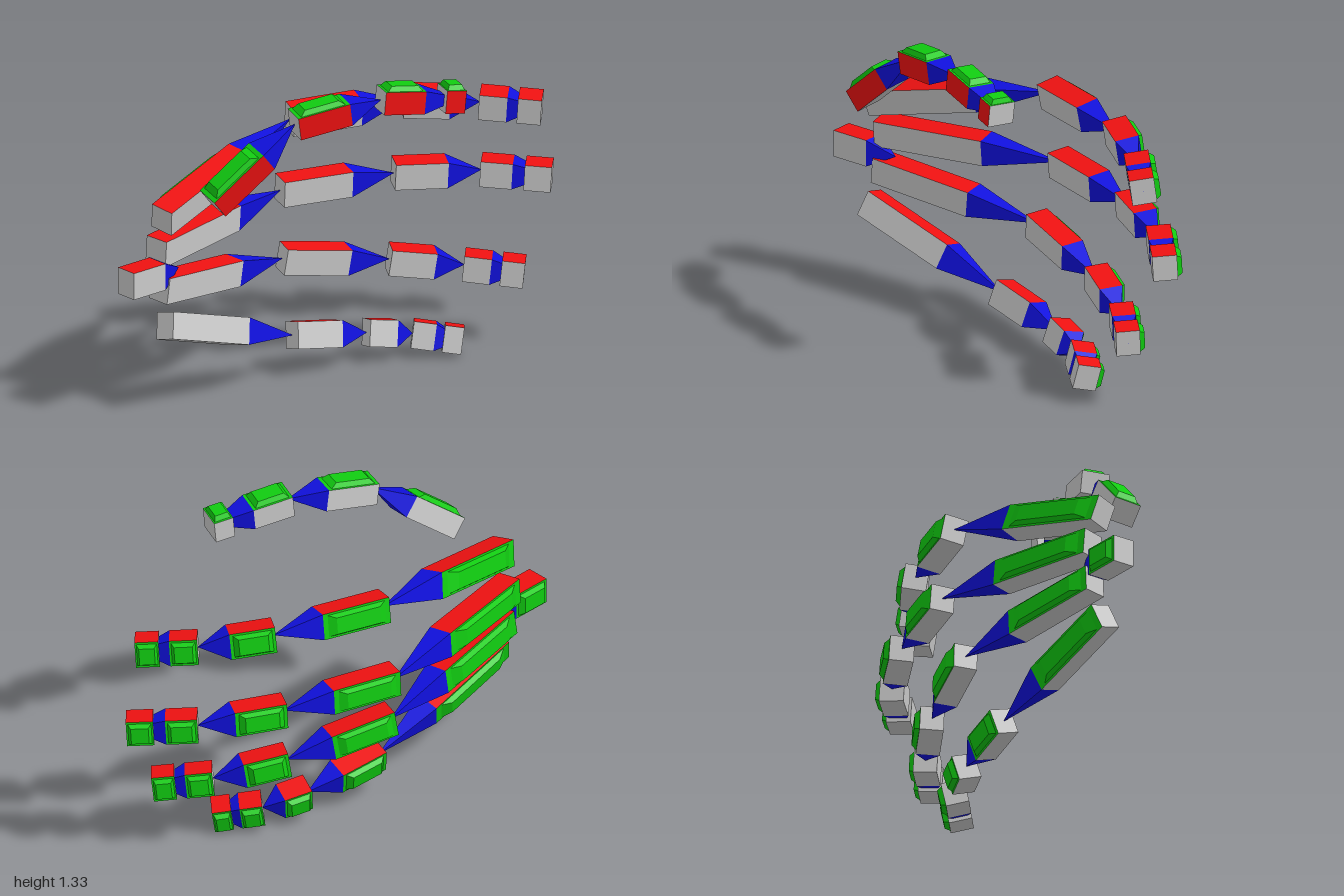
import * as THREE from 'three';

const mat = (color) => new THREE.MeshStandardMaterial({ color, flatShading: true });
const GREY = mat(0xcccccc), RED = mat(0xee1111), GREEN = mat(0x11cc11), BLUE = mat(0x1010dd);

// Four-sided frustum along +z with unit-square base at z = 0, height 1
function squareFrustum(topScale, open) {
  const g = new THREE.CylinderGeometry(Math.SQRT1_2 * topScale, Math.SQRT1_2, 1, 4, 1, open);
  g.rotateY(Math.PI / 4);
  g.translate(0, 0.5, 0);
  g.rotateX(Math.PI / 2);
  return g;
}

const boxGeo = new THREE.BoxGeometry(1, 1, 1);
const spikeGeo = squareFrustum(0.02, false);
const plateGeo = squareFrustum(0.76, false).rotateY(Math.PI / 2); // grows towards +x
const boxMats = [GREEN, GREY, RED, GREY, GREY, GREY];

function add(group, name, geo, material, pos, scale) {
  const m = new THREE.Mesh(geo, material);
  m.name = name;
  m.position.set(...pos);
  m.scale.set(...scale);
  group.add(m);
}

// Box with a green raised plate on its back (+x), running z0..z1
function block(group, name, w, h, z0, z1) {
  const len = z1 - z0, mid = (z0 + z1) / 2;
  add(group, name, boxGeo, boxMats, [0, 0, mid], [w, h, len]);
  add(group, name + 'BackPlate', plateGeo, GREEN, [w / 2, 0, mid], [0.02, h * 0.84, len * 0.86]);
}

// One bone from a to b; side = direction of the red face
function bone(name, a, b, side, w, h, tip) {
  const g = new THREE.Group();
  g.name = name;
  const A = new THREE.Vector3(...a), B = new THREE.Vector3(...b);
  const dir = B.clone().sub(A), L = dir.length();
  dir.normalize();
  const x = new THREE.Vector3(...side).cross(dir).normalize();
  const y = dir.clone().cross(x);
  g.quaternion.setFromRotationMatrix(new THREE.Matrix4().makeBasis(x, y, dir));
  g.position.copy(A);

  const end = L * (tip ? tip[0] : 0.6);
  block(g, 'block', w, h, 0, end);
  add(g, 'taper', spikeGeo, BLUE, [0, 0, end], [w, h, L - end]);
  if (tip) block(g, 'tipBlock', w, h, L * tip[1], L);
  return g;
}

// Joints from the palm out to the tip
const DIGITS = [
  { name: 'thumb', side: [1, 0, 0], w: 0.095, h: 0.115, tip: [0.5, 0.76],
    joints: [[0.015, 0.93, 0.72], [0.125, 1.215, 0.38], [0.25, 1.268, 0.03], [0.375, 1.232, -0.29]] },
  { name: 'indexFinger', side: [0.2, 1, 0], w: 0.1, h: 0.112, tip: [0.45, 0.62],
    joints: [[-0.17, 0.835, 0.83], [-0.31, 1.025, 0.02], [-0.155, 1.033, -0.45], [0.02, 1.012, -0.705], [0.2, 0.995, -0.88]] },
  { name: 'middleFinger', side: [0.08, 1, 0], w: 0.1, h: 0.11, tip: [0.45, 0.62],
    joints: [[-0.215, 0.685, 0.82], [-0.37, 0.703, 0.02], [-0.22, 0.702, -0.455], [-0.04, 0.69, -0.765], [0.165, 0.673, -0.965]] },
  { name: 'ringFinger', side: [0.06, 1, 0], w: 0.097, h: 0.11, tip: [0.45, 0.62],
    joints: [[-0.2, 0.53, 0.815], [-0.295, 0.447, 0.075], [-0.14, 0.38, -0.36], [0.02, 0.336, -0.62], [0.19, 0.31, -0.795]] },
  { name: 'littleFinger', side: [-0.28, 1, 0], w: 0.095, h: 0.11, tip: [0.45, 0.62],
    joints: [[-0.155, 0.385, 0.825], [-0.155, 0.175, 0.145], [-0.09, 0.12, -0.195], [-0.015, 0.093, -0.375], [0.12, 0.066, -0.525]] },
];
const BONES = ['Metacarpal', 'Proximal', 'Middle', 'Distal'];

export function createModel() {
  const model = new THREE.Group();
  model.name = 'handBones';

  model.add(bone('wrist', [-0.193, 0.598, 1], [-0.193, 0.598, 0.72], [0, 1, 0], 0.097, 0.113));

  for (const d of DIGITS) {
    const digit = new THREE.Group();
    digit.name = d.name;
    const n = d.joints.length - 1;
    for (let i = 0; i < n; i++) {
      const last = i === n - 1;
      const label = last ? 'Distal' : BONES[i];
      digit.add(bone(d.name + label, d.joints[i], d.joints[i + 1], d.side, d.w, d.h, last ? d.tip : null));
    }
    model.add(digit);
  }
  return model;
}
